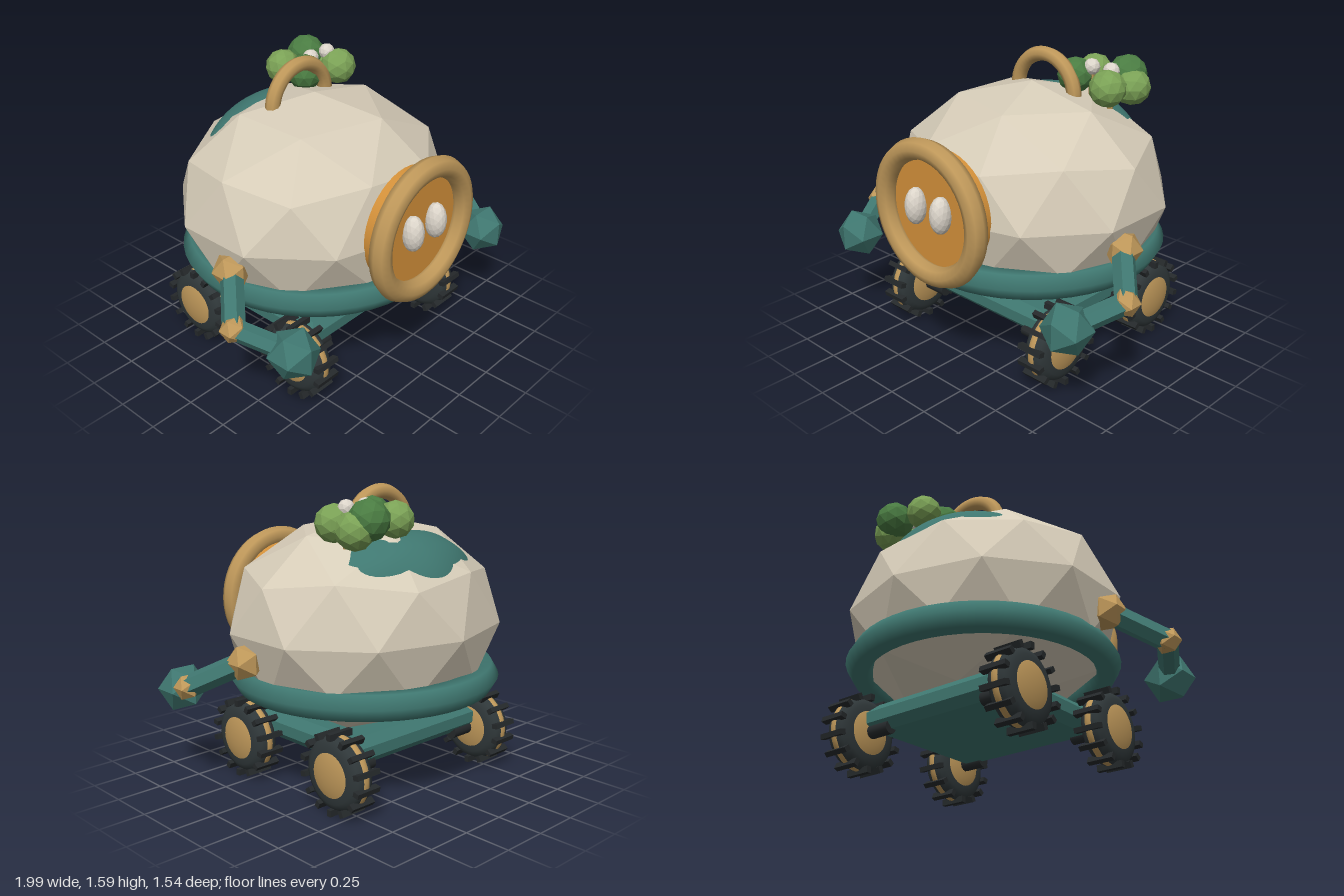
import * as THREE from 'three';

const mat = (name, color) => {
  const m = new THREE.MeshStandardMaterial({ color });
  m.name = name;
  return m;
};

// Faceted normals for a geometry
const flat = (geo) => {
  const g = geo.index ? geo.toNonIndexed() : geo;
  g.computeVertexNormals();
  return g;
};

export function createModel() {
  const cream = mat('cream shell', 0xd6ccb8);
  const teal = mat('teal paint', 0x3f7770);
  const tan = mat('tan brass', 0xbf985a);
  const orange = mat('orange panel', 0xd4913a);
  const rubber = mat('dark rubber', 0x30383a);
  const tread = mat('black tread', 0x25292b);
  const leafDark = mat('dark leaf', 0x4a7c42);
  const leafLight = mat('light leaf', 0x7ba256);
  const pale = mat('pale white', 0xdcd5ca);

  const model = new THREE.Group();
  model.name = 'roundRover';
  const add = (name, geo, material, x = 0, y = 0, z = 0, parent = model) => {
    const mesh = new THREE.Mesh(geo, material);
    mesh.name = name;
    mesh.position.set(x, y, z);
    parent.add(mesh);
    return mesh;
  };
  const ico = (r, detail = 0) => flat(new THREE.IcosahedronGeometry(r, detail));

  // Faceted shell: icosphere standing on a vertex, squashed
  const C = { x: 0, y: 0.855, z: -0.04 };
  const R = { x: 0.783, y: 0.578, z: 0.704 };
  const shell = new THREE.IcosahedronGeometry(1, 1);
  shell.rotateX(-Math.atan2((1 + Math.sqrt(5)) / 2, 1));
  shell.rotateY(Math.PI / 2);
  shell.scale(R.x, R.y, R.z);
  add('shell', flat(shell), cream, C.x, C.y, C.z);

  // Painted patch on the upper back: curved sheet whose rim sinks into the shell
  const patch = new THREE.RingGeometry(0, 1, 64, 10);
  const p = patch.attributes.position;
  for (let i = 0; i < p.count; i++) {
    const u = p.getX(i), v = p.getY(i);
    const wave = 1 + 0.05 * Math.sin(5 * Math.atan2(v, u));
    const x = u * 0.44 * wave;
    const z = -0.47 - v * 0.165 * wave + 0.5 * x * x;
    const dz = z - C.z;
    const y = R.y * Math.sqrt(1 - (x / R.x) ** 2 - (dz / R.z) ** 2);
    const k = 0.995 - 0.05 * (u * u + v * v);
    p.setXYZ(i, x * k, C.y + y * k, C.z + dz * k);
  }
  patch.computeVertexNormals();
  add('backPatch', patch, teal);

  // Belt around the lower shell
  const belt = new THREE.TorusGeometry(0.657, 0.078, 6, 48);
  belt.rotateX(Math.PI / 2);
  add('belt', belt, teal, 0, 0.568, -0.04);

  // Carrying handle on top
  const handle = new THREE.TorusGeometry(0.2, 0.04, 8, 24, Math.PI);
  add('handle', handle, tan, 0, 1.355, -0.15);

  // Face: ring, panel and two eyes
  add('faceRing', new THREE.TorusGeometry(0.335, 0.057, 8, 48), tan, 0, 0.898, 0.7);
  const panel = new THREE.CylinderGeometry(0.305, 0.305, 0.11, 40);
  panel.rotateX(Math.PI / 2);
  add('facePanel', panel, orange, 0, 0.898, 0.625);
  for (const s of [-1, 1]) {
    const eye = new THREE.IcosahedronGeometry(1, 2);
    eye.scale(0.055, 0.1, 0.06);
    add('eye', flat(eye), pale, s * 0.092, 0.918, 0.708);
  }

  // Chamfered chassis
  const hx = 0.455, hz = 0.41, bevel = 0.045;
  const plate = new THREE.Shape([
    new THREE.Vector2(-hx, -hz), new THREE.Vector2(hx, -hz),
    new THREE.Vector2(hx, hz), new THREE.Vector2(-hx, hz),
  ]);
  const chassis = new THREE.ExtrudeGeometry(plate, {
    depth: 0.06, bevelThickness: bevel, bevelSize: bevel, bevelOffset: -bevel, bevelSegments: 1,
  });
  chassis.rotateX(-Math.PI / 2);
  add('chassis', chassis, teal, 0, 0.255, -0.04);

  // Wheels with treads, bulging hubs and axle stubs
  const tireGeo = new THREE.LatheGeometry([
    [0.02, -0.068], [0.1, -0.07], [0.15, -0.066], [0.182, -0.048], [0.195, -0.022],
    [0.195, 0.022], [0.182, 0.048], [0.15, 0.066], [0.1, 0.07], [0.02, 0.068],
  ].map(([r, y]) => new THREE.Vector2(r, y)), 32);
  tireGeo.rotateZ(Math.PI / 2);
  const hubGeo = new THREE.SphereGeometry(1, 32, 16);
  hubGeo.rotateZ(Math.PI / 2);
  hubGeo.scale(0.085, 0.2, 0.2);
  const axleGeo = new THREE.CylinderGeometry(0.037, 0.037, 0.2, 12);
  axleGeo.rotateZ(Math.PI / 2);
  const treadGeo = new THREE.BoxGeometry(0.15, 0.035, 0.027);
  for (const s of [-1, 1]) {
    for (const z of [0.335, -0.41]) {
      const wheel = new THREE.Group();
      wheel.name = 'wheel';
      wheel.position.set(s * 0.53, 0.217, z);
      model.add(wheel);
      add('tire', tireGeo, rubber, 0, 0, 0, wheel);
      add('hub', hubGeo, tan, 0, 0, 0, wheel);
      add('axle', axleGeo, tread, -s * 0.12, 0, 0, wheel);
      for (let i = 0; i < 14; i++) {
        const a = (i / 14) * Math.PI * 2;
        const bar = add('tread', treadGeo, tread, 0, -Math.cos(a) * 0.198, -Math.sin(a) * 0.198, wheel);
        bar.rotation.x = a;
      }
    }
  }

  // Jointed arms
  const limb = (name, a, b, r) => {
    const d = b.clone().sub(a);
    const m = add(name, flat(new THREE.CylinderGeometry(r, r, d.length(), 6)), teal);
    m.position.copy(a).addScaledVector(d, 0.5);
    m.quaternion.setFromUnitVectors(new THREE.Vector3(0, 1, 0), d.normalize());
  };
  for (const s of [-1, 1]) {
    const shoulder = new THREE.Vector3(s * 0.73, 0.728, 0.07);
    const elbow = new THREE.Vector3(s * 0.933, 0.59, 0.295);
    const hand = new THREE.Vector3(s * 0.79, 0.5, 0.555);
    add('shoulder', ico(0.102), tan, ...shoulder);
    limb('upperArm', shoulder, elbow, 0.06);
    add('elbow', ico(0.073), tan, ...elbow);
    limb('forearm', elbow, hand, 0.055);
    add('hand', ico(0.135), teal, ...hand);
  }

  // Rooftop shrubs: x, y, z, radius, material
  const shrubs = [
    [0.135, 1.44, -0.4, 0.097, leafLight], [0.135, 1.45, -0.235, 0.098, leafDark],
    [0.34, 1.455, -0.42, 0.108, leafDark], [0.4, 1.405, -0.385, 0.1, leafLight],
    [0.375, 1.425, -0.21, 0.1, leafLight],
  ];
  shrubs.forEach(([x, y, z, r, m], i) => {
    add('shrub', ico(r, 1), m, x, y, z).rotation.y = i * 0.7;
  });

  // Pale buds on short stems
  for (const x of [0.218, 0.348]) {
    add('bud', ico(0.045, 1), pale, x, 1.502, -0.27);
    add('stem', new THREE.CylinderGeometry(0.016, 0.016, 0.2, 6), tan, x, 1.4, -0.27);
  }

  return model;
}
